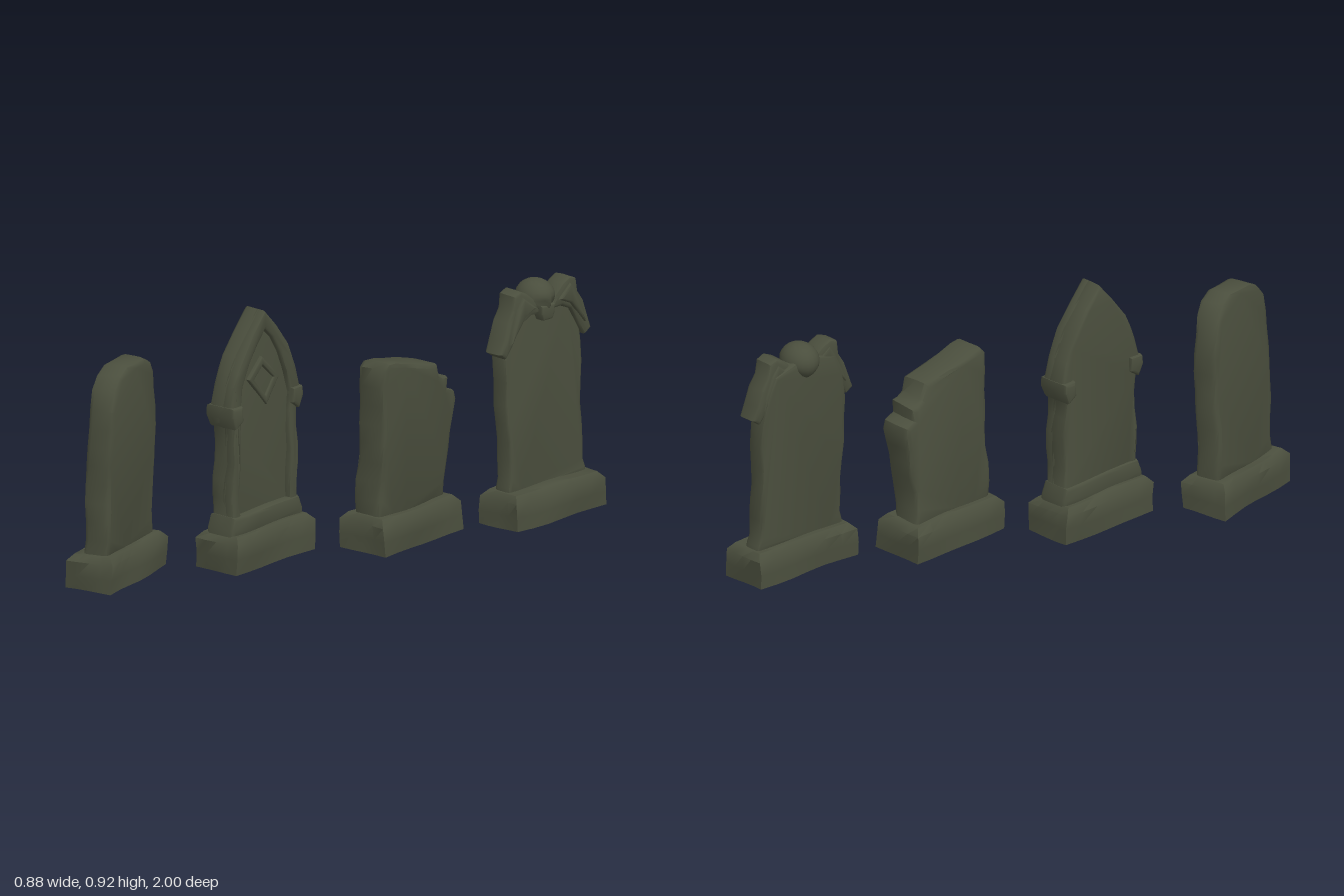
import * as THREE from 'three';
import { toCreasedNormals } from 'three/addons/utils/BufferGeometryUtils.js';

const stone = new THREE.MeshStandardMaterial({ color: 0x4a4e3d });
stone.name = 'mossy stone';

// Weathering: a smooth wobble that depends only on position, so seams stay closed
function wear(geo, amount, seed, lean = 0) {
  const p = geo.attributes.position;
  for (let i = 0; i < p.count; i++) {
    const x = p.getX(i), y = p.getY(i), z = p.getZ(i);
    p.setXYZ(i,
      x + lean * (y - 0.13) + amount * Math.sin(y * 17 + z * 13 + seed),
      y + 0.6 * amount * Math.sin(z * 19 + x * 14 + seed * 2),
      z + amount * Math.sin(y * 29 + x * 21 + seed * 3));
  }
  return toCreasedNormals(geo, 0.8);
}

// Adds points along long edges so that the outline can wobble
function refine(points, step = 0.07) {
  return points.flatMap(([u, y], i) => {
    const [u2, y2] = points[(i + 1) % points.length];
    const n = Math.max(1, Math.round(Math.hypot(u2 - u, y2 - y) / step));
    return Array.from({ length: n }, (_, k) =>
      new THREE.Vector2(u + (u2 - u) * k / n, y + (y2 - y) * k / n));
  });
}

// Closed outline from its right half, listed from bottom to top
const mirrored = half => [
  ...half, ...half.filter(([u]) => u !== 0).reverse().map(([u, y]) => [-u, y])];

// Slab seen from +x: outline in (u, y) with u = -z, thickness along x
function slab(name, outline, thick, { x = 0, lean = 0, bevel = 0.014, hole, amount = 0.004, seed = 1 } = {}) {
  const shape = new THREE.Shape(refine(outline));
  if (hole) shape.holes.push(new THREE.Path(refine(hole)));
  const geo = new THREE.ExtrudeGeometry(shape, {
    depth: thick - 2 * bevel, steps: 2, bevelEnabled: true,
    bevelThickness: bevel, bevelSize: bevel, bevelOffset: -bevel, bevelSegments: 2,
  });
  geo.translate(0, 0, -thick / 2 + bevel);
  geo.rotateY(Math.PI / 2);
  geo.translate(x, 0, 0);
  const mesh = new THREE.Mesh(wear(geo, amount, seed, lean), stone);
  mesh.name = name;
  return mesh;
}

// Worn footing block with a chamfered top
function footing(w, l, seed, bottom = 0.01) {
  const geo = new THREE.BoxGeometry(w, 1, l, 4, 3, 6);
  const p = geo.attributes.position;
  const heights = [bottom, 0.06, 0.112, 0.136];
  for (let i = 0; i < p.count; i++) {
    const row = Math.round((p.getY(i) + 0.5) * 3);
    const inset = row === 3 ? 0.022 : 0;
    p.setXYZ(i, p.getX(i) * (1 - 2 * inset / w), heights[row], p.getZ(i) * (1 - 2 * inset / l));
  }
  const mesh = new THREE.Mesh(wear(geo, 0.004, seed), stone);
  mesh.name = 'footing';
  return mesh;
}

function gravestone(name, x, z, turn, ...parts) {
  const g = new THREE.Group();
  g.name = name;
  g.position.set(x, 0, z);
  g.rotation.y = turn;
  g.add(...parts);
  return g;
}

function roundStone() {
  const half = [[0.174, 0.12], [0.176, 0.6], [0.168, 0.67], [0.145, 0.74], [0.11, 0.785], [0.06, 0.813]];
  return gravestone('roundGravestone', -0.305, 0.778, 0.226,
    footing(0.183, 0.41, 2),
    slab('roundedSlab', mirrored(half), 0.1, { x: 0.005, lean: 0.035, bevel: 0.02, seed: 2 }));
}

function pointedStone() {
  const outer = mirrored([[0.195, 0.12], [0.192, 0.16], [0.178, 0.2], [0.175, 0.53], [0.19, 0.56], [0.19, 0.6],
    [0.168, 0.68], [0.122, 0.775], [0.065, 0.855], [0, 0.922]]);
  const inner = mirrored([[0.135, 0.17], [0.135, 0.59], [0.115, 0.67], [0.08, 0.75], [0.04, 0.81], [0, 0.85]]);
  const parts = [
    footing(0.19, 0.43, 4, 0.003),
    slab('pointedSlab', outer, 0.078, { x: -0.01, bevel: 0.012, seed: 4 }),
    slab('archFrame', outer, 0.05, { x: 0.025, bevel: 0.01, hole: inner, seed: 4 }),
    slab('diamondRelief', [[0.085, 0.66], [-0.01, 0.755], [-0.085, 0.685], [0.02, 0.57]], 0.024, {
      x: 0.03, bevel: 0.006, amount: 0.002,
      hole: [[0.055, 0.662], [-0.008, 0.722], [-0.055, 0.68], [0.015, 0.605]] }),
    slab('plinthStep', mirrored([[0.196, 0.12], [0.196, 0.155], [0.18, 0.2]]), 0.118, { seed: 4, amount: 0.003 }),
  ];
  // Corbels where the arch springs
  for (const s of [-1, 1]) {
    parts.push(slab('corbel', [[s * 0.137, 0.55], [s * 0.137, 0.605], [s * 0.192, 0.605],
      [s * 0.195, 0.57], [s * 0.175, 0.525]], 0.128, { seed: 4, bevel: 0.012, amount: 0.003 }));
  }
  return gravestone('pointedGravestone', -0.1, 0.27, 0.02, ...parts);
}

function brokenStone() {
  const outline = [[-0.185, 0.12], [-0.18, 0.4], [-0.183, 0.68], [-0.165, 0.702], [-0.125, 0.7], [0, 0.672],
    [0.105, 0.64], [0.125, 0.59], [0.15, 0.578], [0.18, 0.575], [0.175, 0.53], [0.215, 0.515],
    [0.222, 0.48], [0.2, 0.37], [0.175, 0.25], [0.182, 0.12]];
  return gravestone('brokenGravestone', 0.15, -0.225, 0.02,
    footing(0.205, 0.43, 5, 0.006),
    slab('brokenSlab', outline, 0.122, { x: -0.003, lean: 0.045, bevel: 0.018, amount: 0.005, seed: 5 }));
}

// Skull with dented eye sockets and a narrow jaw
function skull() {
  const geo = new THREE.SphereGeometry(1, 20, 14);
  const p = geo.attributes.position;
  const v = new THREE.Vector3();
  const sockets = [-1, 1].map(s => new THREE.Vector3(0.88, -0.2, 0.42 * s));
  for (let i = 0; i < p.count; i++) {
    v.fromBufferAttribute(p, i);
    const dent = Math.max(...sockets.map(e => 1 - v.distanceTo(e) / 0.35), 0);
    const low = Math.max(0, -v.y - 0.15);
    p.setXYZ(i, v.x * 0.077 * (1 - 0.3 * dent), v.y * 0.066, v.z * 0.068 * (1 - 0.4 * low));
  }
  const g = new THREE.Group();
  g.name = 'skull';
  const cranium = new THREE.Mesh(toCreasedNormals(geo, 0.9), stone);
  cranium.name = 'cranium';
  const jaw = slab('jaw', mirrored([[0.022, -0.075], [0.034, -0.05], [0.034, -0.02]]), 0.05,
    { x: 0.042, bevel: 0.008, amount: 0 });
  g.add(cranium, jaw);
  g.position.set(-0.03, 0.81, 0.01);
  return g;
}

function wingedStone() {
  const body = mirrored([[0.2, 0.12], [0.198, 0.15], [0.187, 0.18], [0.192, 0.45], [0.198, 0.62],
    [0.18, 0.72], [0.14, 0.8], [0.04, 0.825]]);
  const wing = [[0.02, 0.76], [0.05, 0.81], [0.09, 0.845], [0.125, 0.862], [0.158, 0.85], [0.168, 0.8],
    [0.195, 0.76], [0.215, 0.7], [0.235, 0.65], [0.205, 0.63], [0.175, 0.67], [0.13, 0.74], [0.08, 0.76]];
  const feathers = [[0.06, 0.79], [0.12, 0.84], [0.15, 0.8], [0.185, 0.73], [0.195, 0.68], [0.16, 0.72], [0.12, 0.765]];
  const parts = [
    footing(0.18, 0.46, 7),
    slab('tallSlab', body, 0.072, { x: -0.013, lean: -0.045, bevel: 0.012, seed: 7, amount: 0.003 }),
    skull(),
  ];
  for (const s of [-1, 1]) {
    const flip = pts => pts.map(([u, y]) => [s * u, y]);
    parts.push(
      slab('wing', flip(wing), 0.082, { x: -0.025, bevel: 0.012, seed: 7, amount: 0.003 }),
      slab('wingFeathers', flip(feathers), 0.1, { x: -0.022, bevel: 0.01, seed: 7, amount: 0.003 }));
  }
  return gravestone('wingedGravestone', 0.345, -0.765, -0.03, ...parts);
}

export function createModel() {
  const model = new THREE.Group();
  model.name = 'gravestones';
  model.add(roundStone(), pointedStone(), brokenStone(), wingedStone());
  return model;
}
